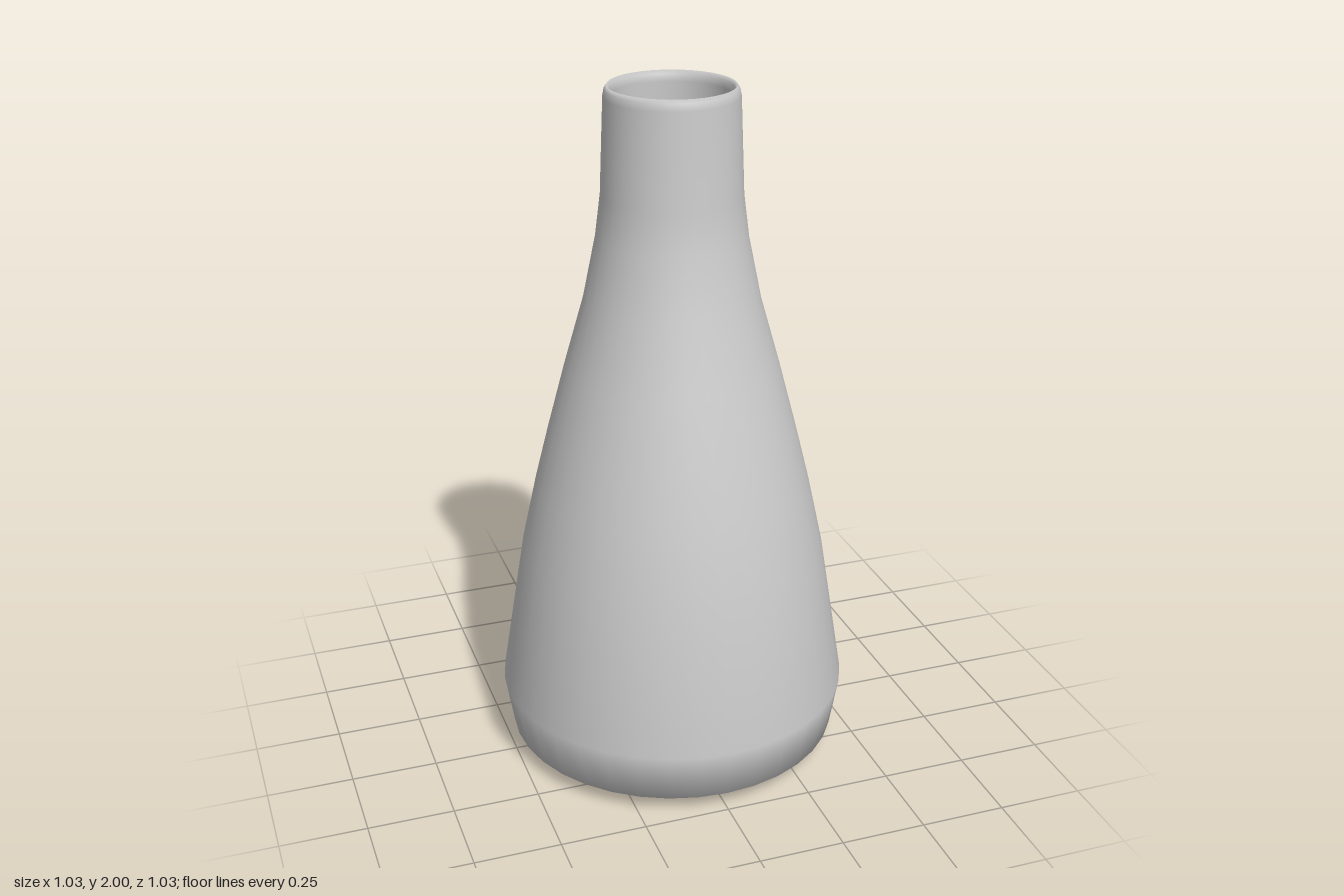
import * as THREE from 'three';

export function createModel() {
  const group = new THREE.Group();
  group.name = 'flask';
  const material = new THREE.MeshStandardMaterial({ color: 0xcccccc });

  // Closed wall profile: underside, outer wall, rim, inner wall, inner floor
  const profile = [
    [0, 0], [0.37, 0], [0.49, 0.05], [0.515, 0.2],
    [0.444, 0.64], [0.4, 0.84], [0.36, 1.0], [0.307, 1.2], [0.25, 1.4],
    [0.213, 1.58], [0.198, 1.7], [0.187, 1.97], [0.183, 1.99],
    [0.176, 2], [0.168, 1.99], [0.165, 1.97],
    [0.176, 1.7], [0.191, 1.58], [0.228, 1.4], [0.285, 1.2],
    [0.338, 1.0], [0.378, 0.84], [0.422, 0.64], [0.49, 0.2],
    [0.468, 0.07], [0.36, 0.03], [0, 0.03],
  ].map(([r, y]) => new THREE.Vector2(r, y));

  const body = new THREE.Mesh(new THREE.LatheGeometry(profile, 36), material);
  body.name = 'flaskBody';
  group.add(body);
  return group;
}
